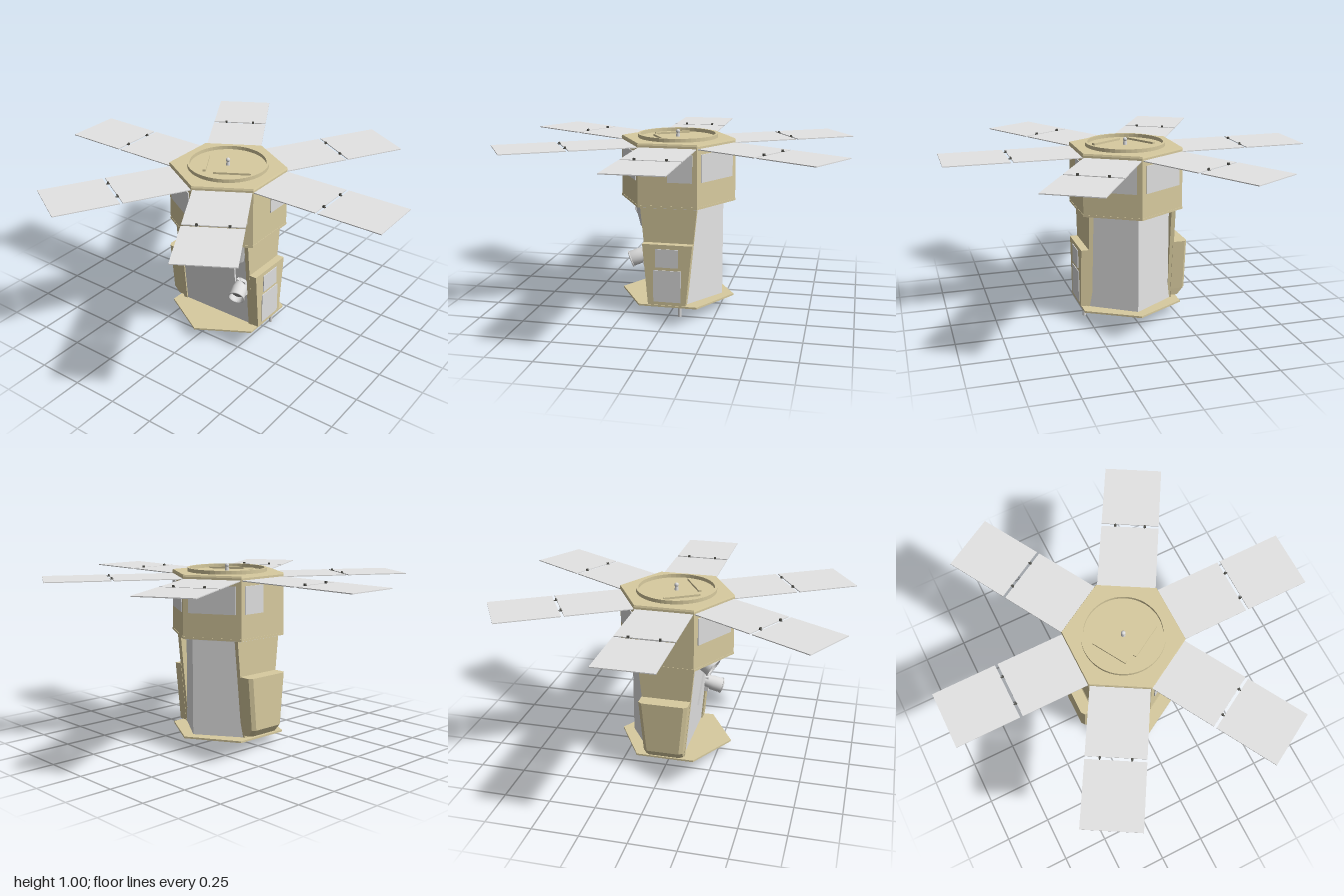
import * as THREE from 'three';

const mat = (name, color) => {
  const m = new THREE.MeshStandardMaterial({ color, flatShading: true });
  m.name = name;
  return m;
};

// Closed solid between two rings of [x, z] points, counter-clockwise from above
function loft(lower, y0, upper, y1) {
  const p = [], n = lower.length;
  const b = i => [lower[i % n][0], y0, lower[i % n][1]];
  const t = i => [upper[i % n][0], y1, upper[i % n][1]];
  for (let i = 0; i < n; i++) {
    p.push(...b(i), ...b(i + 1), ...t(i + 1), ...b(i), ...t(i + 1), ...t(i));
    if (i > 0 && i < n - 1) p.push(...t(0), ...t(i), ...t(i + 1), ...b(0), ...b(i + 1), ...b(i));
  }
  const g = new THREE.BufferGeometry();
  g.setAttribute('position', new THREE.Float32BufferAttribute(p, 3));
  g.computeVertexNormals();
  return g;
}
const rect = (x0, x1, z0, z1) => [[x0, z1], [x1, z1], [x1, z0], [x0, z0]];

export function createModel() {
  const gold = mat('gold foil', 0xd8cb9f);
  const silver = mat('radiator silver', 0xdedede);
  const white = mat('white foil', 0xf4f4f4);
  const panelGrey = mat('panel grey', 0xe4e4e4);
  const dark = mat('dark fittings', 0x55554f);
  const lens = mat('lens grey', 0x8c8c8c);
  const tube = new THREE.MeshStandardMaterial({ color: 0xdcdcdc, side: THREE.DoubleSide });
  tube.name = 'instrument grey';

  const model = new THREE.Group();
  const add = (name, geo, m, x = 0, y = 0, z = 0, parent = model) => {
    const mesh = new THREE.Mesh(geo, m);
    mesh.name = name;
    mesh.position.set(x, y, z);
    parent.add(mesh);
    return mesh;
  };
  const box = (w, h, d) => new THREE.BoxGeometry(w, h, d);
  const hex = (r0, r1, h) => new THREE.CylinderGeometry(r1, r0, h, 6);

  // Upper hexagonal housing
  add('upperHousing', hex(0.323, 0.32, 0.33), gold, 0, 0.78, 0);
  add('housingLid', hex(0.322, 0.318, 0.01), gold, 0, 0.948, 0);
  add('lowerFlange', hex(0.325, 0.325, 0.012), gold, 0, 0.615, 0);
  add('housingUnderside', hex(0.31, 0.31, 0.006), silver, 0, 0.608, 0);

  // Radiator windows, one on each face
  for (let k = 0; k < 6; k++) {
    const face = new THREE.Group();
    face.name = 'radiatorFace';
    face.rotation.y = Math.PI / 6 + k * Math.PI / 3;
    const side = k === 1 ? 1 : k === 4 ? -1 : 0;
    add('radiatorWindow', box(side ? 0.135 : 0.262, 0.15, 0.008), silver, side * 0.067, 0.825, 0.279, face);
    model.add(face);
  }

  // Round adapter ring, struts and knob on the lid
  const ring = [[0.207, 0.95], [0.22, 0.95], [0.22, 0.973], [0.207, 0.973], [0.207, 0.95]];
  add('adapterRing', new THREE.LatheGeometry(ring.map(q => new THREE.Vector2(...q)), 48), gold);
  for (const [x, z, a] of [[-0.105, 0.055, -1.04], [0.085, 0.08, 0.53]])
    add('lidStrut', box(0.2, 0.012, 0.018), gold, x, 0.958, z).rotation.y = a;
  add('knobStem', new THREE.CylinderGeometry(0.008, 0.012, 0.03, 10), tube, 0, 0.966, 0);
  add('knob', new THREE.SphereGeometry(0.012, 12, 8), tube, 0, 0.983, 0);

  // Six hinged two-piece solar wings
  for (let k = 0; k < 6; k++) {
    const wing = new THREE.Group();
    wing.name = 'solarWing';
    wing.rotation.y = k * Math.PI / 3;
    add('innerPanel', box(0.365, 0.005, 0.31), panelGrey, 0.4575, 0.929, 0, wing);
    add('outerPanel', box(0.345, 0.005, 0.31), panelGrey, 0.8275, 0.929, 0, wing);
    for (const z of [-0.08, 0.08]) {
      add('hingeArm', box(0.02, 0.004, 0.006), dark, 0.647, 0.931, z, wing);
      add('hingeKnuckle', box(0.008, 0.012, 0.012), dark, 0.645, 0.936, z, wing);
    }
    model.add(wing);
  }

  // White core with sloped front and wedge-shaped back
  const core = f => [[-0.235, f], [0.235, f], [0.235, -0.1], [0, -0.257], [-0.235, -0.1]];
  add('coreBody', loft(core(0.098), 0.065, core(0.147), 0.607), white);

  // Tapered gold side walls
  for (const s of [-1, 1]) {
    const x0 = s > 0 ? 0.222 : -0.246, x1 = x0 + 0.024;
    add('sideWall', loft(rect(x0, x1, -0.1, 0.105), 0.062, rect(x0, x1, -0.155, 0.157), 0.607), gold);
  }

  // Equipment box with two windows on the left side
  add('leftBox', loft(rect(0.24, 0.288, -0.102, 0.107), 0.07, rect(0.24, 0.288, -0.137, 0.137), 0.41), gold);
  add('upperBoxWindow', box(0.008, 0.102, 0.127), silver, 0.288, 0.335, 0.002);
  add('lowerBoxWindow', box(0.008, 0.178, 0.152), silver, 0.288, 0.178, 0);

  // Tapered equipment box with chamfered edges on the right side
  const chamfered = (x, z) =>
    [[-0.24, z], [-0.24, -z], [x + 0.015, -z], [x, 0.02 - z], [x, z - 0.02], [x + 0.015, z]];
  add('rightBox', loft(chamfered(-0.325, 0.11), 0.12, chamfered(-0.325, 0.137), 0.41), gold);
  add('rightBoxFoot', loft(chamfered(-0.295, 0.105), 0.08, chamfered(-0.325, 0.11), 0.12), gold);

  // Base plate with bulged underside, port, small pads and foot
  add('basePlate', hex(0.322, 0.322, 0.01), gold, 0, 0.06, 0);
  const belly = add('basePlateBelly', hex(0.2, 0.24, 0.014), gold, 0, 0.049, 0);
  belly.scale.set(1.1, 1, 0.72);
  add('basePort', new THREE.CylinderGeometry(0.036, 0.036, 0.008, 20), dark, 0.06, 0.039, -0.02);
  for (const [x, z] of [[0.15, 0.06], [-0.06, -0.09], [-0.14, 0.03], [-0.03, 0.1]])
    add('basePad', box(0.03, 0.005, 0.03), tube, x, 0.041, z);
  add('footRod', new THREE.CylinderGeometry(0.009, 0.009, 0.056, 10), tube, 0.26, 0.028, -0.065);

  // Front instruments: open barrels with a rim and a lens
  const barrel = (name, x, y, z, r, len, rx, ry) => {
    const g = new THREE.Group();
    g.name = name;
    g.position.set(x, y, z);
    g.rotation.set(rx, ry, 0, 'YXZ');
    const pts = [[0.7 * r, -len], [r, -len * 0.45], [r, 0], [0.85 * r, 0], [0.8 * r, -len * 0.4]];
    add('barrelShell', new THREE.LatheGeometry(pts.map(q => new THREE.Vector2(...q)), 28), tube, 0, 0, 0, g).rotation.x = Math.PI / 2;
    add('barrelRim', new THREE.TorusGeometry(r, 0.004, 8, 28), tube, 0, 0, 0, g);
    add('barrelLens', new THREE.CircleGeometry(0.82 * r, 28), lens, 0, 0, -len * 0.25, g);
    model.add(g);
  };
  barrel('upperTelescope', -0.022, 0.522, 0.215, 0.055, 0.13, 0.55, -0.25);
  barrel('lowerTelescope', 0.215, 0.3, 0.218, 0.043, 0.12, 0.35, 0.3);

  // Bracket plate and conical baffle beside the instruments
  const outline = [[0.03, 0], [0.145, 0], [0.145, 0.23], [0.115, 0.23]];
  const bracket = new THREE.Shape(outline.map(q => new THREE.Vector2(...q)));
  add('bracketPlate', new THREE.ExtrudeGeometry(bracket, { depth: 0.02, bevelEnabled: false }), white, 0, 0.25, 0.105).rotation.x = 0.092;
  add('conicalBaffle', new THREE.CylinderGeometry(0.09, 0.06, 0.125, 28), tube, 0.147, 0.545, 0.118);
  add('telescopeMount', box(0.1, 0.07, 0.04), white, -0.015, 0.57, 0.14);
  add('lowerMount', box(0.06, 0.09, 0.06), white, 0.195, 0.32, 0.12);

  return model;
}
